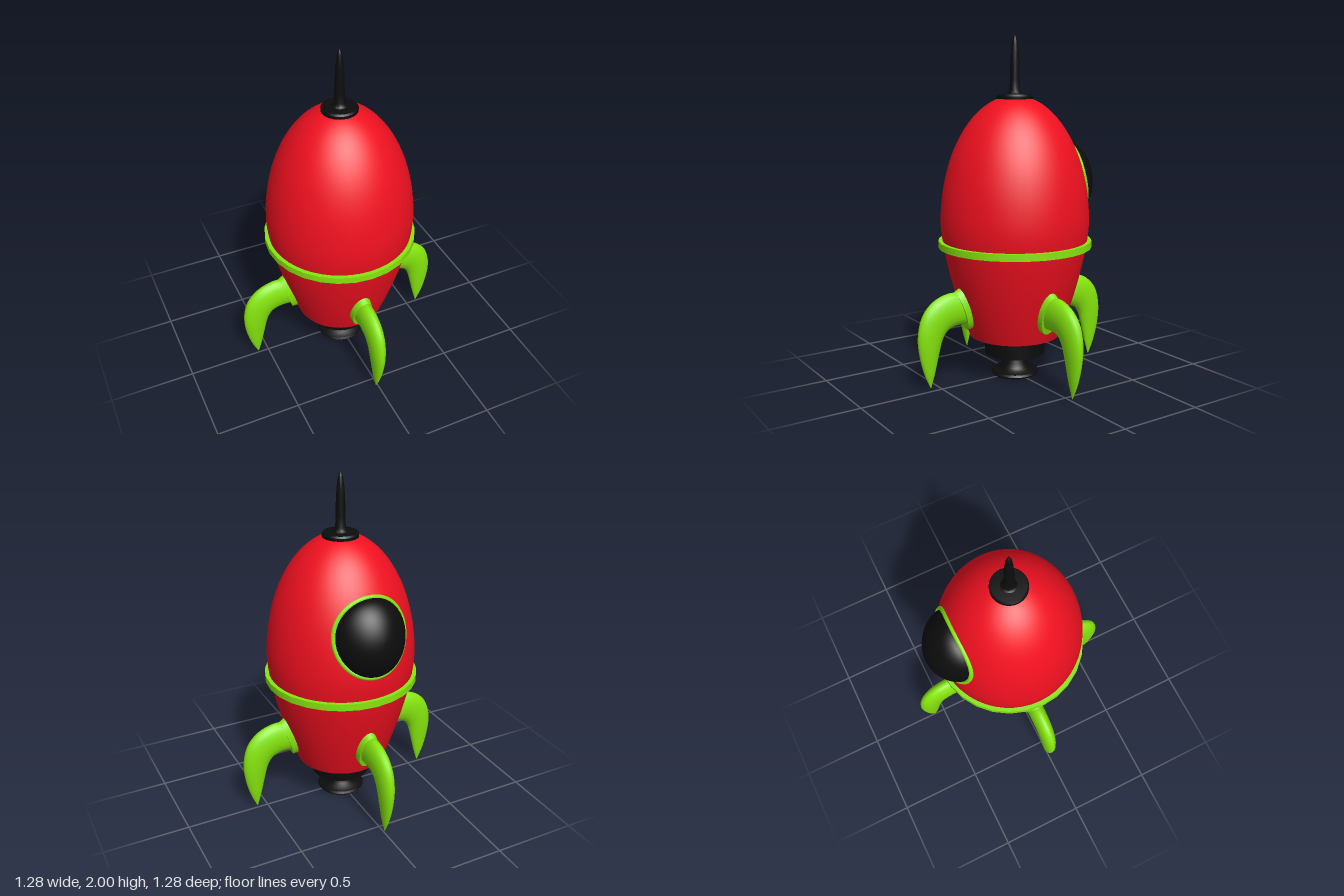
import * as THREE from 'three';
import { toCreasedNormals } from 'three/addons/utils/BufferGeometryUtils.js';

const red = new THREE.MeshStandardMaterial({ color: 0xf01020 });
const green = new THREE.MeshStandardMaterial({ color: 0x86e60e });
const black = new THREE.MeshStandardMaterial({ color: 0x0c0c0c });

// Hull radius at a given height: half ellipse above the widest point, tapering below it
const hullRadius = (y) => y > 0.92
  ? 0.435 * Math.sqrt(Math.max(0, 1 - ((y - 0.92) / 0.74) ** 2))
  : 0.435 - 0.166 * ((0.92 - y) / 0.67) ** 1.5;

function part(name, geometry, material) {
  const mesh = new THREE.Mesh(geometry, material);
  mesh.name = name;
  return mesh;
}

function turned(name, profile, material, segments = 32) {
  const points = profile.map(([r, y]) => new THREE.Vector2(r, y));
  return part(name, toCreasedNormals(new THREE.LatheGeometry(points, segments), 0.6), material);
}

// Surface of nu rows, each a closed loop of nv points given by point(u, angle)
function loft(point, nu, nv) {
  const positions = [], index = [];
  for (let i = 0; i <= nu; i++) {
    for (let j = 0; j < nv; j++) {
      positions.push(...point(i / nu, (j / nv) * Math.PI * 2));
      if (i === nu) continue;
      const k = (j + 1) % nv, a = i * nv, b = a + nv;
      index.push(a + j, a + k, b + j, b + j, a + k, b + k);
    }
  }
  const geometry = new THREE.BufferGeometry();
  geometry.setAttribute('position', new THREE.Float32BufferAttribute(positions, 3));
  geometry.setIndex(index);
  geometry.computeVertexNormals();
  return geometry;
}

// Curved claw fin: outer edge, inner edge and half thickness from root to tip
function finGeometry() {
  const sections = [
    [0.36, 0.545, 0.29, 0.35, 0.052], [0.44, 0.55, 0.40, 0.355, 0.05],
    [0.54, 0.515, 0.455, 0.335, 0.048], [0.61, 0.44, 0.485, 0.295, 0.045],
    [0.64, 0.32, 0.50, 0.25, 0.04], [0.63, 0.20, 0.52, 0.17, 0.03],
    [0.60, 0.09, 0.54, 0.09, 0.018], [0.567, 0.015, 0.563, 0.015, 0.002],
  ];
  const outer = new THREE.CatmullRomCurve3(sections.map(([x, y, , , w]) => new THREE.Vector3(x, y, w)));
  const inner = new THREE.CatmullRomCurve3(sections.map(([, , x, y]) => new THREE.Vector3(x, y, 0)));
  return loft((u, angle) => {
    const o = outer.getPoint(u), i = inner.getPoint(u);
    const t = (1 + Math.cos(angle)) / 2;
    return [i.x + (o.x - i.x) * t, i.y + (o.y - i.y) * t, o.z * Math.sin(angle)];
  }, 28, 20);
}

// Point on the back of the hull, inside an ellipse centred on the window
function windowPoint(s, angle, rx, ry) {
  const x = rx * s * Math.cos(angle), y = 1.175 + ry * s * Math.sin(angle);
  return [x, y, -Math.sqrt(hullRadius(y) ** 2 - x * x)];
}

export function createModel() {
  const model = new THREE.Group();
  model.name = 'rocket';

  // Hull with a recess in the underside
  const hull = [[0, 0.32], [0.22, 0.32], [0.235, 0.25]];
  for (let i = 0; i <= 14; i++) {
    const y = 0.25 + 0.67 * i / 14;
    hull.push([hullRadius(y), y]);
  }
  for (let i = 1; i <= 20; i++) {
    const y = 0.92 + 0.72 * Math.sin((i / 20) * Math.PI / 2);
    hull.push([hullRadius(y), y]);
  }
  hull.push([0, 1.64]);
  model.add(turned('hull', hull, red, 48));

  // Band around the waist
  model.add(turned('waistBand', [[0.41, 0.78], [0.45, 0.78], [0.45, 0.82], [0.41, 0.82]], green, 28));

  // Nose cap and spike
  model.add(turned('noseCap', [[0, 1.625], [0.1, 1.625], [0.104, 1.635], [0.104, 1.655],
    [0.097, 1.665], [0.05, 1.668], [0, 1.668]], black));
  model.add(turned('noseSpike', [[0.05, 1.665], [0.036, 1.675], [0.03, 1.69], [0.028, 1.75], [0.026, 1.84],
    [0.022, 1.91], [0.015, 1.965], [0.007, 1.993], [0, 2]], black, 20));

  // Engine block and flared nozzle
  model.add(turned('engine', [[0, 0.135], [0.178, 0.135], [0.178, 0.33]], black));
  model.add(turned('nozzle', [[0, 0.006], [0.11, 0], [0.135, 0.004], [0.142, 0.014], [0.135, 0.026],
    [0.1, 0.035], [0.084, 0.05], [0.076, 0.075], [0.062, 0.11], [0.058, 0.14]], black));

  // Four fins, each with an oval collar lying on the hull
  const finShape = finGeometry();
  const collarShape = new THREE.CylinderGeometry(0.93, 1, 0.035, 28);
  ['left', 'front', 'right', 'back'].forEach((side, i) => {
    const fin = new THREE.Group();
    fin.name = side + 'Fin';
    const collar = part('finCollar', collarShape, green);
    collar.scale.set(0.13, 1, 0.064);
    collar.rotation.z = -Math.PI / 2 - 0.32;
    collar.position.set(0.348, 0.44, 0);
    fin.add(part('finClaw', finShape, green), collar);
    fin.rotation.y = -i * Math.PI / 2;
    if (side === 'front') fin.position.x = -0.016;
    model.add(fin);
  });

  // Domed window on the back, bulging along the tilted hull normal
  model.add(part('windowDome', loft((u, angle) => {
    const s = Math.sin(u * Math.PI / 2), bulge = 0.112 * Math.cos(u * Math.PI / 2);
    const [x, y, z] = windowPoint(s, angle, 0.212, 0.215);
    return [x, y + bulge * 0.25, z - bulge * 0.97];
  }, 16, 40), black));

  // Window rim following the hull
  const rimPoints = [];
  for (let i = 0; i < 32; i++) {
    rimPoints.push(new THREE.Vector3(...windowPoint(1, (i / 32) * Math.PI * 2, 0.218, 0.217)));
  }
  const rimPath = new THREE.CatmullRomCurve3(rimPoints, true);
  model.add(part('windowRim', new THREE.TubeGeometry(rimPath, 64, 0.014, 8, true), green));

  return model;
}
